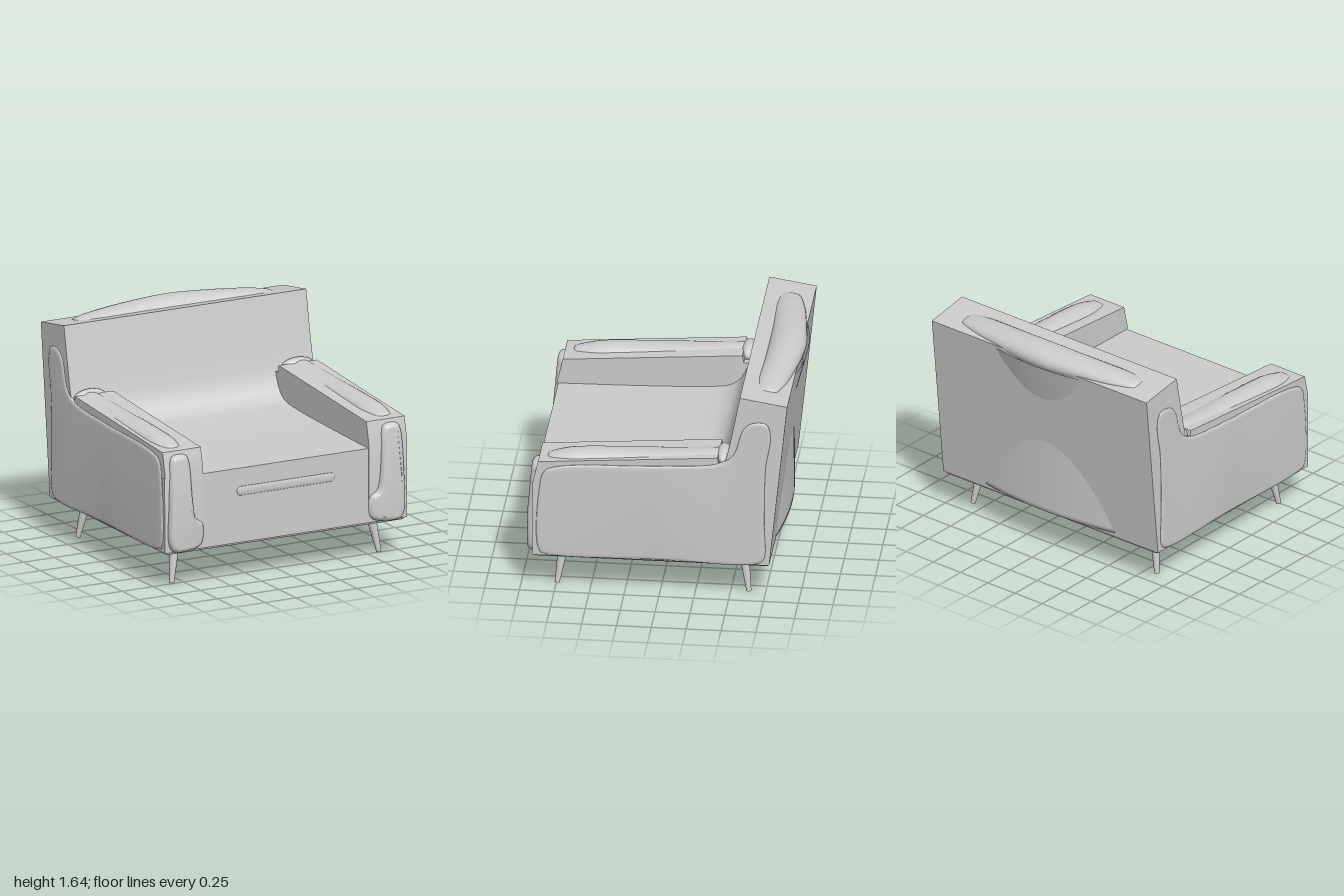
import * as THREE from 'three';
import { mergeVertices, toCreasedNormals } from 'three/addons/utils/BufferGeometryUtils.js';

const grey = new THREE.MeshStandardMaterial({ color: 0xcccccc });
const thin = new THREE.MeshStandardMaterial({ color: 0xcccccc, side: THREE.DoubleSide });

function add(group, name, geometry, material = grey) {
  const mesh = new THREE.Mesh(geometry, material);
  mesh.name = name;
  group.add(mesh);
  return mesh;
}

const toShape = pts => new THREE.Shape(pts.map(p => new THREE.Vector2(p[0], p[1])));

function smoothLoop(pts, n = 60) {
  const curve = new THREE.CatmullRomCurve3(pts.map(p => new THREE.Vector3(p[0], p[1], 0)), true, 'centripetal');
  return curve.getPoints(n).slice(0, n).map(p => [p.x, p.y]);
}

// Side profile of [z, y] points, extruded from x0 to x1
function prism(profile, x0, x1) {
  const g = new THREE.ExtrudeGeometry(toShape(profile), { depth: x1 - x0, bevelEnabled: false });
  g.rotateY(-Math.PI / 2).translate(x1, 0, 0);
  return toCreasedNormals(g, 0.45);
}

// Thin cushion with a rounded rim, bulging both ways from its outline
function pad(outline, bulge, rim) {
  return new THREE.ExtrudeGeometry(toShape(outline), {
    depth: 0.01, bevelThickness: bulge, bevelSize: rim, bevelOffset: -rim, bevelSegments: 5,
  });
}

// Round cushion lofted through stations [along, x or z, y, radius across, radius up]
function roll(stations, axis) {
  const g = new THREE.CylinderGeometry(1, 1, 1, 20, 40, true);
  const p = g.attributes.position;
  const mids = new THREE.CatmullRomCurve3(stations.map(s => new THREE.Vector3(s[0], s[1], s[2])));
  const radii = new THREE.CatmullRomCurve3(stations.map(s => new THREE.Vector3(s[3], s[4], 0)));
  for (let i = 0; i < p.count; i++) {
    const t = THREE.MathUtils.clamp(p.getY(i) + 0.5, 0, 1);
    const c = mids.getPoint(t), r = radii.getPoint(t);
    const a = p.getX(i), b = p.getZ(i);
    if (axis === 'z') p.setXYZ(i, c.y + a * r.x, c.z - b * r.y, c.x);
    else p.setXYZ(i, c.x, c.z - a * r.y, c.y + b * r.x);
  }
  g.deleteAttribute('uv');
  g.deleteAttribute('normal');
  const merged = mergeVertices(g);
  merged.computeVertexNormals();
  return merged;
}

// Tapered, splayed leg
function leg(sx, top, foot) {
  const a = new THREE.Vector3(sx * 0.797, 0.29, top), b = new THREE.Vector3(sx * 0.845, 0.004, foot);
  const g = new THREE.CylinderGeometry(0.038, 0.018, a.distanceTo(b), 16);
  const up = a.clone().sub(b).normalize();
  g.applyQuaternion(new THREE.Quaternion().setFromUnitVectors(new THREE.Vector3(0, 1, 0), up));
  const m = a.add(b).multiplyScalar(0.5);
  return g.translate(m.x, m.y, m.z);
}

// Swelling of the rear upholstery, strongest at the bottom and top centre
function backBulge() {
  const g = new THREE.PlaneGeometry(1.5, 1.25, 40, 40);
  g.rotateY(Math.PI).translate(0, 0.905, 0);
  const p = g.attributes.position;
  for (let i = 0; i < p.count; i++) {
    const x = p.getX(i), y = p.getY(i);
    const low = 0.062 - 0.105 * (y - 0.28) - 0.06 * (x / 0.6) ** 2;
    const high = 0.045 - 0.16 * (1.52 - y) - 0.045 * (x / 0.4) ** 2;
    const tuck = y < 0.3 ? 0.1 : 0;
    p.setZ(i, -0.79 - (y - 0.28) * 0.103 - Math.max(low, high, -0.03) + tuck);
  }
  g.computeVertexNormals();
  return g;
}

export function createModel() {
  const chair = new THREE.Group();
  chair.name = 'armchair';

  // Seat sweeping smoothly up into the backrest
  const sweep = new THREE.SplineCurve([
    [0.9, 0.83], [0.3, 0.84], [-0.2, 0.86], [-0.36, 0.895], [-0.44, 0.99], [-0.495, 1.17], [-0.58, 1.6],
  ].map(p => new THREE.Vector2(...p))).getPoints(36).map(p => [p.x, p.y]);
  add(chair, 'seatAndBack', prism([[-0.79, 0.28], [0.905, 0.28], ...sweep, [-0.92, 1.545]], -0.987, 0.987));
  add(chair, 'backBulge', backBulge(), thin);

  // Chamfered underside
  const base = new THREE.BoxGeometry(1.97, 0.025, 1.69);
  const bp = base.attributes.position;
  for (let i = 0; i < bp.count; i++) {
    if (bp.getY(i) < 0) bp.setXYZ(i, bp.getX(i) * 0.975, bp.getY(i), bp.getZ(i) * 0.985);
  }
  add(chair, 'underside', toCreasedNormals(base.translate(0, 0.2755, 0.055), 0.1));

  // Head roll along the top of the back
  add(chair, 'headRoll', roll([
    [-0.81, -0.75, 1.545, 0, 0], [-0.79, -0.75, 1.55, 0.075, 0.03], [-0.6, -0.77, 1.55, 0.11, 0.06],
    [-0.3, -0.80, 1.55, 0.125, 0.08], [0, -0.815, 1.55, 0.135, 0.09], [0.3, -0.80, 1.55, 0.125, 0.08],
    [0.6, -0.77, 1.55, 0.11, 0.06], [0.79, -0.75, 1.55, 0.075, 0.03], [0.81, -0.75, 1.545, 0, 0],
  ], 'x'));

  // Raised strip on the front
  const strip = new THREE.CapsuleGeometry(0.034, 0.73, 8, 16);
  strip.rotateZ(Math.PI / 2).scale(1, 1, 0.25).translate(0, 0.66, 0.901);
  add(chair, 'frontStrip', strip);

  const armProfile = [[-0.55, 0.28], [0.905, 0.28], [0.905, 0.86], [0.868, 1.02], [-0.42, 1.115], [-0.43, 1.06], [-0.55, 1.06]];
  const frontOutline = smoothLoop([
    [0.955, 0.62], [0.955, 0.34], [0.92, 0.285], [0.8, 0.28], [0.69, 0.31], [0.665, 0.39], [0.68, 0.475],
    [0.74, 0.515], [0.765, 0.62], [0.785, 0.94], [0.81, 0.985], [0.915, 0.985], [0.94, 0.94],
  ]);
  const sideOutline = smoothLoop([
    [0.86, 0.32], [0.86, 0.8], [0.82, 0.95], [0.7, 0.995], [0, 1.03], [-0.42, 1.07], [-0.53, 1.14], [-0.6, 1.34],
    [-0.66, 1.4], [-0.77, 1.4], [-0.8, 1.3], [-0.765, 1.05], [-0.755, 0.6], [-0.755, 0.34], [-0.71, 0.292],
    [0, 0.29], [0.8, 0.29],
  ], 100);

  for (const [sx, side] of [[1, 'left'], [-1, 'right']]) {
    const arm = new THREE.Group();
    arm.name = side + 'Arm';
    chair.add(arm);
    add(arm, 'armBlock', sx > 0 ? prism(armProfile, 0.675, 0.986) : prism(armProfile, -0.986, -0.675));

    // Cushion on the arm top and the gathered fold behind it
    add(arm, 'armTopPad', roll([
      [0.83, sx * 0.86, 1.0, 0, 0], [0.79, sx * 0.86, 1.0, 0.07, 0.04], [0.6, sx * 0.86, 1.02, 0.1, 0.06],
      [0.3, sx * 0.86, 1.04, 0.1, 0.055], [0, sx * 0.86, 1.055, 0.1, 0.047], [-0.3, sx * 0.86, 1.07, 0.095, 0.05],
      [-0.43, sx * 0.86, 1.08, 0.075, 0.05], [-0.47, sx * 0.86, 1.08, 0, 0],
    ].reverse(), 'z'));
    const fold = new THREE.SphereGeometry(1, 20, 14);
    add(arm, 'armFold', fold.scale(0.13, 0.06, 0.055).translate(sx * 0.845, 1.085, -0.452));

    // Front pad, thinning towards the top and the inner foot
    const front = pad(frontOutline.map(([x, y]) => [x * sx, y]), 0.045, 0.035);
    const fp = front.attributes.position;
    for (let i = 0; i < fp.count; i++) {
      const drop = Math.max(0, fp.getY(i) - 0.6) * 0.085 + Math.max(0, 0.77 - Math.abs(fp.getX(i))) * 0.3;
      fp.setZ(i, fp.getZ(i) + 0.896 - drop);
    }
    add(arm, 'armFrontPad', toCreasedNormals(front, 0.9));

    // Padded outer panel reaching up beside the back
    const panel = pad(sideOutline, 0.01, 0.03).rotateY(-Math.PI / 2).translate(sx * 0.984 + 0.005, 0, 0);
    add(arm, 'sidePanel', toCreasedNormals(panel, 0.9));

    add(chair, side + 'FrontLeg', leg(sx, 0.702, 0.745));
    add(chair, side + 'BackLeg', leg(sx, -0.588, -0.63));
  }
  return chair;
}
